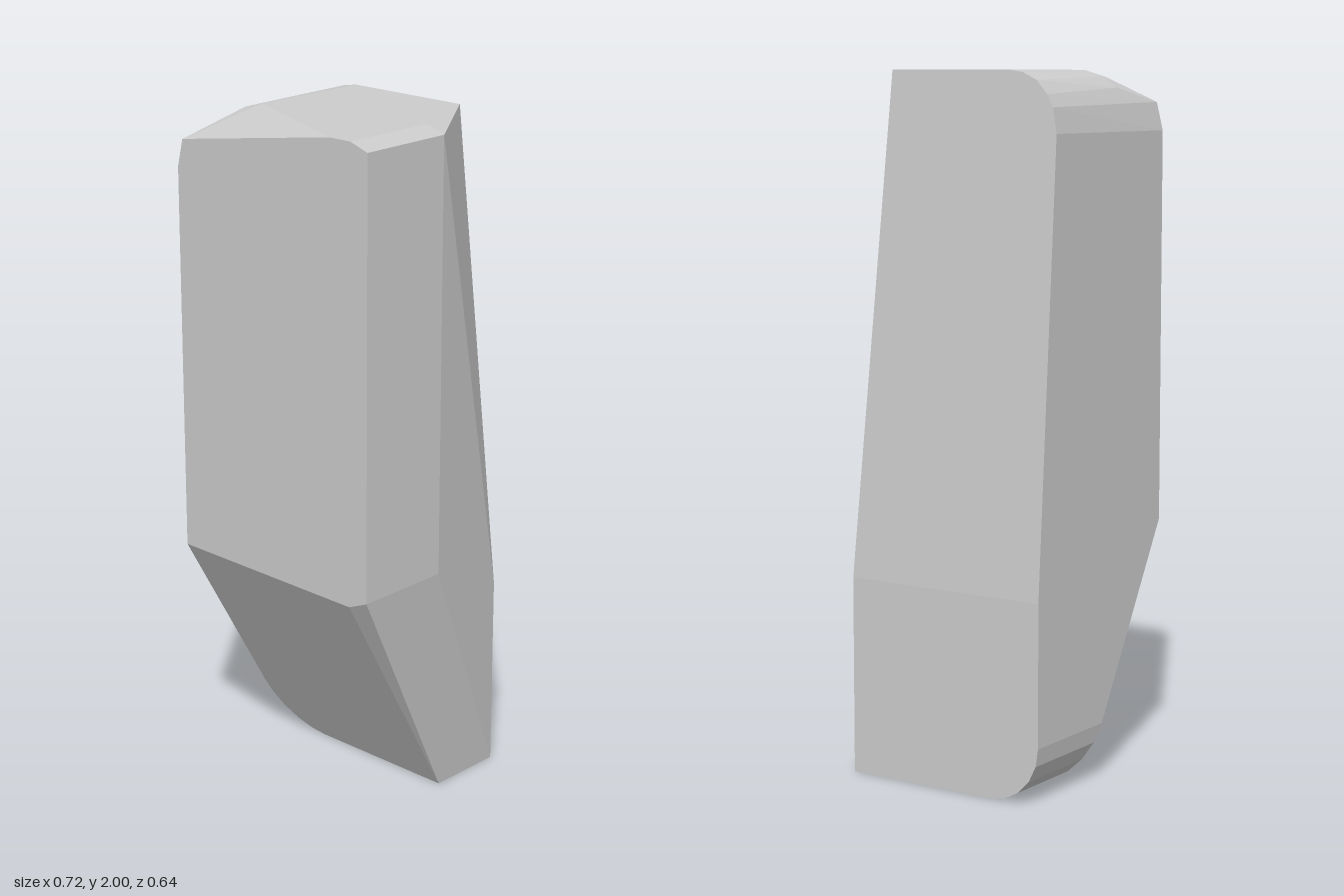
import * as THREE from 'three';
import { ConvexGeometry } from 'three/addons/geometries/ConvexGeometry.js';

// Depth of the leaning back face and of the undercut front slope at a height
const backZ = (y) => (y < 0.57 ? -0.32 : -0.32 + (y - 0.57) * 0.0657);
const slopeZ = (y) => -0.085 + (y * 0.405) / 0.705;

export function createModel() {
  const group = new THREE.Group();
  const stoneGrey = new THREE.MeshStandardMaterial({ color: 0xcccccc });
  stoneGrey.name = 'stoneGrey';
  stoneGrey.flatShading = true;

  const points = [];
  const add = (x, y, z) => points.push(new THREE.Vector3(x, y, z));

  // Bevelled right flank
  for (const z of [0.025, 0.32]) {
    add(0.355, 0.73, z);
    add(0.355, 1.98, z);
    add(0.295, 2, z);
  }
  add(0.19, 2, backZ(2));
  add(0.172, 2, backZ(2));
  add(0.27, 0.57, -0.32);
  add(0.27, 0, -0.32);
  add(0.27, 0, -0.085);

  // Lower edge of the front face
  add(0.29, 0.702, 0.32);
  add(-0.36, 0.708, 0.32);

  // Rounded upper left edge at the back
  for (const [x, y] of [[-0.36, 1.83], [-0.345, 1.9], [-0.325, 1.935], [-0.29, 1.972], [-0.245, 1.993], [-0.2, 2]]) {
    add(x, y, backZ(y));
  }
  // Its front end, cut off by a sloping facet
  add(-0.21, 2, 0.14);
  add(-0.275, 1.982, 0.14);
  add(-0.315, 1.951, 0.14);
  add(-0.34, 1.91, 0.32);
  add(-0.36, 1.83, 0.32);
  add(0.22, 2, 0.32);

  // Rounded lower left edge
  for (let i = 0; i <= 5; i++) {
    const a = (i / 5) * Math.PI / 2;
    const x = -0.2 - 0.16 * Math.cos(a);
    const y = 0.165 - 0.165 * Math.sin(a);
    add(x, y, -0.32);
    add(x, y, slopeZ(y));
  }
  add(-0.36, 0.57, -0.32);

  const stone = new THREE.Mesh(new ConvexGeometry(points), stoneGrey);
  stone.name = 'standingStone';
  group.add(stone);
  return group;
}
